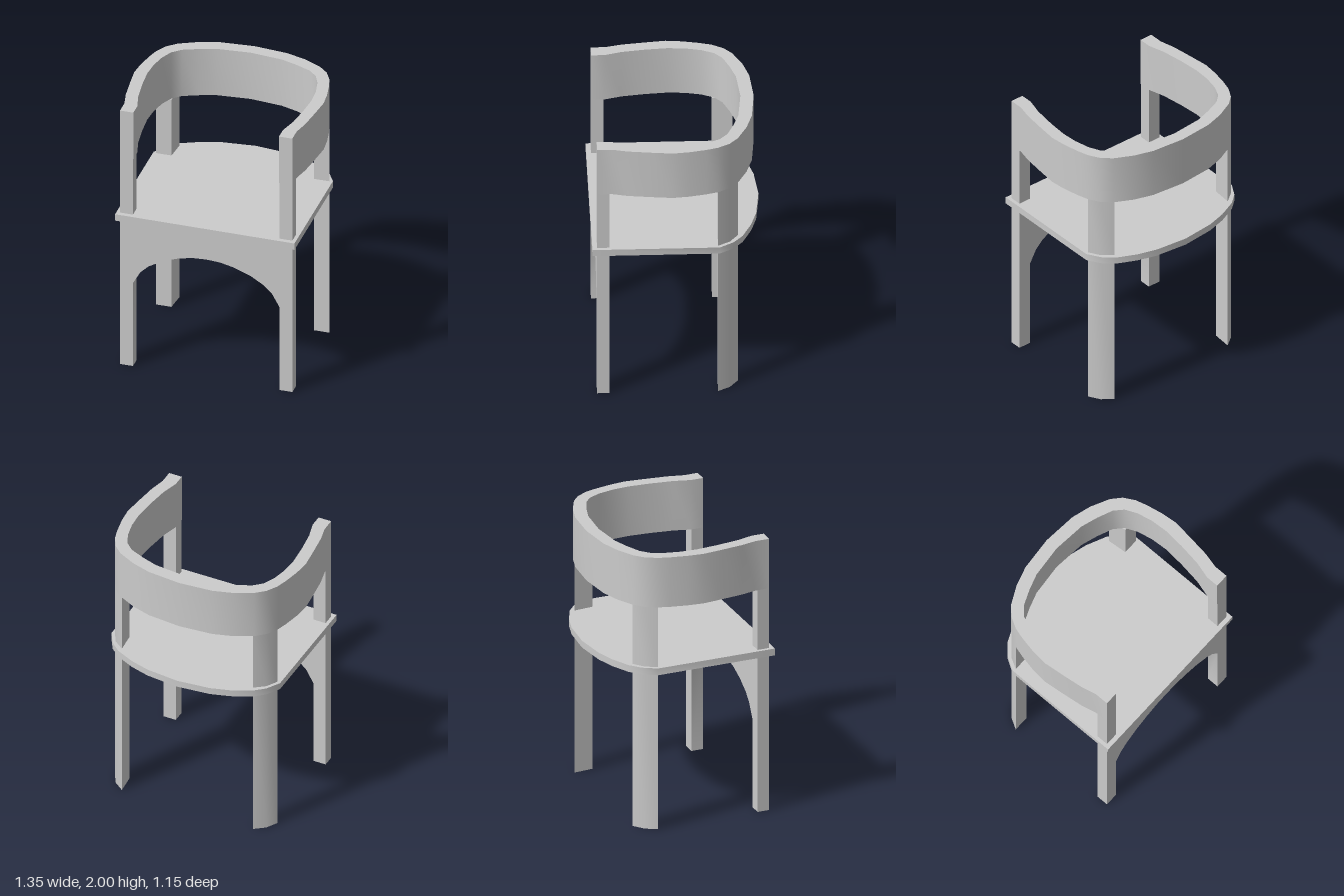
import * as THREE from 'three';
import { toCreasedNormals } from 'three/addons/utils/BufferGeometryUtils.js';

const material = new THREE.MeshStandardMaterial({ color: 0xcccccc });

// Closes a right-to-left symmetric half outline, given from +x side to the centre line.
const mirrored = (half) => [
  ...half,
  ...half.filter(([x]) => x > 0).reverse().map(([x, v]) => [-x, v]),
];

function extrude(name, points, depth) {
  const shape = new THREE.Shape(points.map(([x, y]) => new THREE.Vector2(x, y)));
  const geometry = new THREE.ExtrudeGeometry(shape, { depth, bevelEnabled: false });
  const mesh = new THREE.Mesh(toCreasedNormals(geometry, 0.6), material);
  mesh.name = name;
  return mesh;
}

// Extrudes a plan outline of [x, z] points upwards from y0 to y1.
function slab(name, plan, y0, y1) {
  const mesh = extrude(name, plan.map(([x, z]) => [x, -z]), y1 - y0);
  mesh.geometry.rotateX(-Math.PI / 2);
  mesh.position.y = y0;
  return mesh;
}

export function createModel() {
  const chair = new THREE.Group();
  chair.name = 'chair';
  const seatBottom = 1.145, seatTop = 1.195, bandBottom = 1.635;

  // Seat: straight front and sides, rounded back
  const seat = mirrored([
    [0.637, 0.572], [0.637, -0.29], [0.58, -0.385], [0.505, -0.45],
    [0.37, -0.512], [0.235, -0.551], [0, -0.575],
  ]);
  chair.add(slab('seat', seat, seatBottom, seatTop));

  // Curved band forming the backrest and armrests
  const outer = mirrored([
    [0.612, 0.54], [0.612, 0.44], [0.638, 0.33], [0.658, 0.17], [0.673, 0.03],
    [0.662, -0.08], [0.638, -0.2], [0.615, -0.28], [0.57, -0.36],
    [0.505, -0.418], [0.375, -0.482], [0.24, -0.522], [0, -0.543],
  ]);
  const inner = mirrored([
    [0.517, 0.54], [0.517, 0.45], [0.55, 0.33], [0.572, 0.17], [0.584, 0.02],
    [0.576, -0.1], [0.552, -0.21], [0.514, -0.293], [0.455, -0.348],
    [0.345, -0.394], [0.23, -0.431], [0, -0.453],
  ]);
  chair.add(slab('backrest', [...outer, ...inner.reverse()], bandBottom, 2));

  // Front legs joined by an arched apron
  const front = mirrored([
    [0.612, seatBottom], [0.612, 0], [0.52, 0], [0.52, 0.655], [0.467, 0.75],
    [0.41, 0.805], [0.31, 0.865], [0.2, 0.906], [0.1, 0.929], [0, 0.935],
  ]);
  const apron = extrude('frontLegsAndApron', front, 0.085);
  apron.position.z = 0.455;
  chair.add(apron);

  // Front posts, and rear legs and posts whose outer face follows the band
  for (const side of [1, -1]) {
    const label = side > 0 ? 'left' : 'right';
    const place = (points) => points.map(([x, z]) => [side * x, z]);
    const post = place([[0.612, 0.54], [0.612, 0.455], [0.52, 0.455], [0.52, 0.54]]);
    const rear = place([[0.615, -0.28], [0.57, -0.36], [0.495, -0.417], [0.507, -0.28]]);
    chair.add(
      slab(label + 'FrontPost', post, seatTop, bandBottom),
      slab(label + 'RearLeg', rear, 0, seatBottom),
      slab(label + 'RearPost', rear, seatTop, bandBottom),
    );
  }
  return chair;
}
